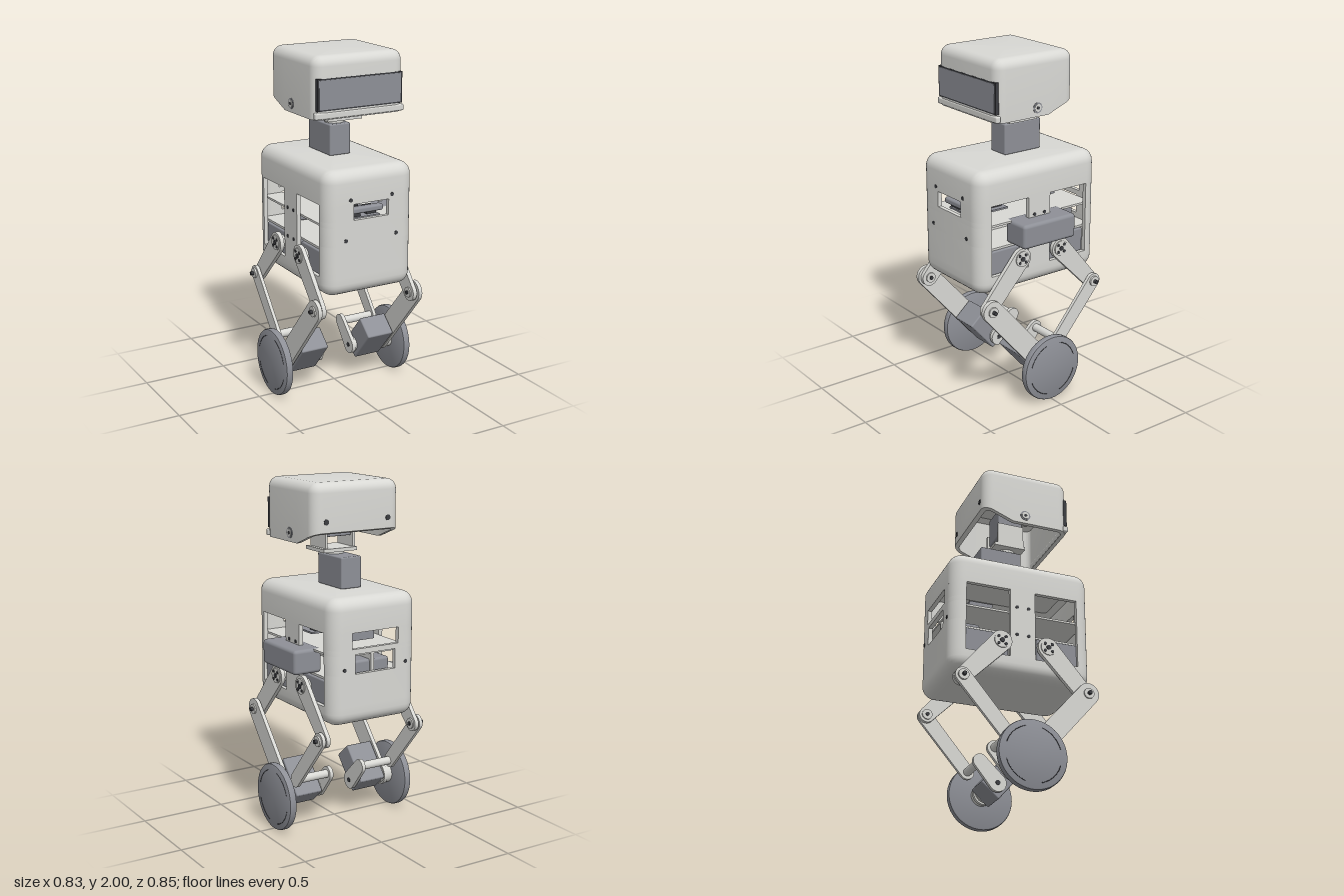
import * as THREE from 'three';
import { toCreasedNormals } from 'three/addons/utils/BufferGeometryUtils.js';
import { RoundedBoxGeometry } from 'three/addons/geometries/RoundedBoxGeometry.js';

const mat = (name, color) => {
  const m = new THREE.MeshStandardMaterial({ color });
  m.name = name;
  return m;
};

// Stack of rounded rectangles: rings are [y, inset]; floorAt(z) limits the height from below
function loft(rings, hx, zBack, zFront, r, zMid = 0, floorAt = () => -1) {
  const pos = [], idx = [], N = 8;
  const zc = (zBack + zFront) / 2, hz = (zFront - zBack) / 2;
  const put = (x, y, z) => pos.push(x, Math.max(y, floorAt(z)), z);
  for (const [y, inset] of rings) {
    const rc = Math.max(r - inset, 0.012), X = hx - inset, Z = hz - inset;
    [[1, 1], [-1, 1], [-1, -1], [1, -1]].forEach(([sx, sz], q) => {
      for (let i = 0; i <= N; i++) {
        const t = (q + i / N) * Math.PI / 2;
        put(sx * (X - rc) + rc * Math.cos(t), y, zc + sz * (Z - rc) + rc * Math.sin(t));
      }
      if (q % 2) put(sx * X, y, zMid);
    });
  }
  const M = 4 * (N + 1) + 2, last = (rings.length - 1) * M;
  for (let i = 0; i < rings.length - 1; i++) for (let j = 0; j < M; j++) {
    const a = i * M + j, b = i * M + (j + 1) % M;
    idx.push(a, a + M, b, b, a + M, b + M);
  }
  const c = rings.length * M;
  put(0, rings[0][0], zc);
  put(0, rings[rings.length - 1][0], zc);
  for (let j = 0; j < M; j++) {
    const k = (j + 1) % M;
    idx.push(c, j, k, c + 1, last + k, last + j);
  }
  const g = new THREE.BufferGeometry();
  g.setAttribute('position', new THREE.Float32BufferAttribute(pos, 3));
  g.setIndex(idx);
  return toCreasedNormals(g, 0.6);
}

// Quarter-round edge from the wall (inset 0) to the cap (inset f); dir is +1 for a top, -1 for a bottom
const fillet = (y, f, dir) => Array.from({ length: 8 }, (_, i) => {
  const t = i / 7 * Math.PI / 2;
  return [y - dir * f * (1 - Math.sin(t)), f * (1 - Math.cos(t))];
});

export function createModel() {
  const root = new THREE.Group();
  root.name = 'wheeledRobot';
  const shell = mat('shell light grey', 0xd8d8d4);
  const grey = mat('motor grey', 0x8e9097);
  const dark = mat('fastener dark', 0x3c3d41);

  const add = (name, geo, m, parent = root) => {
    const mesh = new THREE.Mesh(geo, m);
    mesh.name = name;
    parent.add(mesh);
    return mesh;
  };
  // Box between two corners, with optional rounding
  const box = (name, m, x0, x1, y0, y1, z0, z1, r = 0, parent = root) => {
    const s = [Math.abs(x1 - x0), y1 - y0, z1 - z0];
    const mesh = add(name, r ? new RoundedBoxGeometry(...s, 3, r) : new THREE.BoxGeometry(...s), m, parent);
    mesh.position.set((x0 + x1) / 2, (y0 + y1) / 2, (z0 + z1) / 2);
    return mesh;
  };
  // Cylinder along x
  const rod = (name, m, x0, x1, y, z, r, parent = root) => {
    const g = new THREE.CylinderGeometry(r, r, Math.abs(x1 - x0), 28).rotateZ(Math.PI / 2);
    add(name, g, m, parent).position.set((x0 + x1) / 2, y, z);
  };
  // Round-ended bar from a to b, each [z, y], between two x positions
  const link = (name, a, b, ra, rb, x0, x1, parent) => {
    const t = Math.atan2(b[1] - a[1], b[0] - a[0]), h = Math.PI / 2;
    const s = new THREE.Shape();
    s.absarc(a[0], a[1], ra, t + h, t + 3 * h);
    s.absarc(b[0], b[1], rb, t - h, t + h);
    const g = new THREE.ExtrudeGeometry(s, { depth: Math.abs(x1 - x0), bevelEnabled: false, curveSegments: 16 });
    g.rotateY(-Math.PI / 2).translate(Math.max(x0, x1), 0, 0);
    add(name, toCreasedNormals(g, 0.6), shell, parent);
  };
  // Small screw head on a front or back face
  const screw = (x, y, z, r = 0.011) => {
    add('screw', new THREE.CylinderGeometry(r, r, 0.006, 14).rotateX(Math.PI / 2), dark).position.set(x, y, z);
  };

  // Body: lid, tub and the walls between them
  const HX = 0.28, ZB = -0.425, ZF = 0.41, R = 0.08, T = 0.025;
  add('bodyLid', loft([[1.37, T + 0.03], [1.34, T], [1.21, T], [1.21, 0], ...fillet(1.4, 0.07, 1)], HX, ZB, ZF, R), shell);
  add('bodyTub', loft([...fillet(0.69, 0.07, -1).reverse(), [0.8, 0], [0.8, T], [0.75, T], [0.72, T + 0.03]], HX, ZB, ZF, R), shell);
  const K = 0.5523;
  const cornerWall = (y0, y1, sx, sz, gap) => {
    const zf = sz > 0 ? ZF : ZB, zw = sz > 0 ? 0.325 : -0.34;
    const P = (x, d) => [sx * x, zf - sz * d];
    const s = new THREE.Shape();
    const ri = R - T, k = (1 - K);
    s.moveTo(...P(gap, 0));
    s.lineTo(...P(HX - R, 0));
    s.bezierCurveTo(...P(HX - R * k, 0), ...P(HX, R * k), ...P(HX, R));
    s.lineTo(sx * HX, zw);
    s.lineTo(sx * (HX - T), zw);
    s.lineTo(...P(HX - T, R));
    s.bezierCurveTo(...P(HX - T, T + ri * k), ...P(HX - T - ri * k, T), ...P(HX - R, T));
    s.lineTo(...P(gap, T));
    s.closePath();
    const g = new THREE.ExtrudeGeometry(s, { depth: y1 - y0, bevelEnabled: false, curveSegments: 8 });
    g.rotateX(Math.PI / 2).translate(0, y1, 0);
    add('bodyWall', toCreasedNormals(g, 0.6), shell);
  };
  // Wall layers: bottom, top, half width of the front slot, half width of the back slot
  for (const [y0, y1, front, back] of [[0.8, 0.98, 0, 0], [0.98, 1.09, 0, 0.13], [1.09, 1.12, 0, 0], [1.12, 1.21, 0.11, 0.15]])
    for (const sx of [1, -1]) {
      cornerWall(y0, y1, sx, 1, front);
      cornerWall(y0, y1, sx, -1, back);
    }
  for (const s of [1, -1]) {
    box('sideColumn', shell, s * 0.255, s * 0.28, 0.8, 1.21, -0.08, 0.07);
    screw(s * 0.13, 1.235, ZF);
    screw(s * 0.16, 1.01, ZF);
    screw(s * 0.2, 1.01, ZB);
    for (const z of [-0.04, 0.03]) for (const y of [0.935, 1.105])
      rod('columnScrew', dark, s * 0.279, s * 0.283, y, z, 0.01);
  }

  // Shelves and electronics inside the body
  box('lowerShelf', shell, -0.25, 0.25, 0.94, 0.952, -0.395, 0.38);
  box('upperShelf', shell, -0.25, 0.25, 1.075, 1.087, -0.395, 0.38);
  box('shelfDivider', shell, -0.01, 0.01, 0.952, 1.075, -0.395, 0.38);
  box('rearBattery', grey, -0.12, 0.12, 0.955, 1.04, -0.38, -0.2, 0.015);
  box('circuitBoard', grey, -0.1, 0.1, 1.1, 1.11, 0.08, 0.34);
  for (const [x, z, w, h] of [[-0.06, 0.3, 0.08, 0.05], [0.06, 0.28, 0.06, 0.04], [0.02, 0.13, 0.09, 0.08], [-0.07, 0.18, 0.04, 0.05]])
    box('circuitPart', dark, x - w / 2, x + w / 2, 1.11, 1.11 + h, z - 0.03, z + 0.03);
  box('rearController', grey, -0.1, 0.1, 1.12, 1.19, -0.26, -0.12);
  box('frontConnector', grey, -0.1, 0.1, 1.14, 1.175, 0.33, 0.375, 0.012);
  box('sideBattery', grey, 0.2, 0.375, 0.95, 1.09, -0.19, 0.173, 0.02);

  // Neck servo and bracket
  box('neckServo', grey, -0.068, 0.064, 1.4, 1.578, -0.178, 0.073, 0.008);
  add('neckHorn', new THREE.CylinderGeometry(0.055, 0.055, 0.03, 28), shell).position.set(0, 1.59, 0);
  box('neckPlate', shell, -0.09, 0.13, 1.598, 1.618, -0.1, 0.09);
  for (const x of [-0.08, 0.1]) box('neckBracket', shell, x - 0.008, x + 0.008, 1.61, 1.75, -0.08, 0.08);
  box('headServo', grey, -0.068, 0.09, 1.68, 1.86, -0.07, 0.08, 0.008);

  // Head: hollow shell with a sloped lower back edge
  const slope = z => 1.66 + Math.max(0, -0.06 - z) * 0.39;
  add('headShell', loft([[1.965, 0.05], [1.94, 0.025], [1.66, 0.025], [1.66, 0], ...fillet(2, 0.055, 1)], 0.28, -0.24, 0.285, 0.06, -0.06, slope), shell);
  box('screenFrame', dark, -0.265, 0.265, 1.708, 1.882, 0.262, 0.286);
  box('screen', grey, -0.255, 0.255, 1.716, 1.875, 0.264, 0.289);
  box('screenLip', shell, -0.278, 0.278, 1.664, 1.7, 0.258, 0.289, 0.008);
  for (const s of [1, -1]) {
    rod('headPivotRing', grey, s * 0.27, s * 0.283, 1.71, 0.015, 0.03);
    rod('headPivotCap', shell, s * 0.27, s * 0.286, 1.71, 0.015, 0.022);
    rod('headPivotBolt', dark, s * 0.27, s * 0.288, 1.71, 0.015, 0.009);
    screw(s * 0.2, 1.79, -0.24, 0.016);
  }

  // Legs: five-bar linkage with a wheel motor, mirrored left and right
  const axle = [-0.005, 0.2], frontKnee = [0.36, 0.62], rearKnee = [-0.37, 0.62], rearEnd = [-0.11, 0.315];
  for (const s of [1, -1]) {
    const leg = new THREE.Group();
    leg.name = s > 0 ? 'leftLeg' : 'rightLeg';
    root.add(leg);
    for (const [z, knee, kr] of [[0.135, frontKnee, 0.052], [-0.14, rearKnee, 0.045]]) {
      const z0 = z > 0 ? 0.085 : -0.335;
      box('hipMotor', grey, s * 0.11, s * 0.262, 0.8, 0.938, z0, z0 + 0.25, 0.008, leg);
      rod('hipShaft', shell, s * 0.25, s * 0.29, 0.872, z, 0.04, leg);
      link('upperLink', [z, 0.872], knee, 0.06, kr, s * 0.283, s * 0.307, leg);
      rod('hipHub', shell, s * 0.3, s * 0.313, 0.872, z, 0.045, leg);
      rod('hipBolt', dark, s * 0.3, s * 0.317, 0.872, z, 0.014, leg);
      for (let i = 0; i < 4; i++) {
        const t = (i + 0.5) * Math.PI / 2;
        rod('hubScrew', dark, s * 0.3, s * 0.316, 0.872 + 0.03 * Math.sin(t), z + 0.03 * Math.cos(t), 0.009, leg);
      }
      rod('kneeSpacer', shell, s * 0.275, s * 0.345, knee[1], knee[0], 0.03, leg);
      rod('kneeAxle', dark, s * 0.268, s * 0.363, knee[1], knee[0], 0.011, leg);
    }
    link('frontLowerLink', frontKnee, axle, 0.062, 0.065, s * 0.314, s * 0.337, leg);
    link('rearLowerLink', rearKnee, rearEnd, 0.045, 0.042, s * 0.314, s * 0.334, leg);
    rod('crossRod', shell, s * 0.115, s * 0.32, rearEnd[1], rearEnd[0], 0.024, leg);
    link('innerLink', axle, rearEnd, 0.052, 0.042, s * 0.1, s * 0.122, leg);
    rod('innerHub', shell, s * 0.118, s * 0.14, axle[1], axle[0], 0.045, leg);
    rod('innerBolt', dark, s * 0.097, s * 0.11, axle[1], axle[0], 0.014, leg);

    // Wheel motor lies along the front lower link
    const motor = box('wheelMotor', grey, s * 0.135, s * 0.305, -0.068, 0.068, -0.122, 0.122, 0.008, leg);
    motor.position.set(s * 0.22, 0.253, 0.042);
    motor.rotation.x = -Math.atan2(frontKnee[1] - axle[1], frontKnee[0] - axle[0]);
    rod('motorMount', shell, s * 0.3, s * 0.318, axle[1], axle[0], 0.055, leg);
    rod('wheelHub', shell, s * 0.335, s * 0.372, axle[1], axle[0], 0.06, leg);

    // Wheel with rounded rim and broken ring marks
    const profile = [[0, -0.022], [0.185, -0.022], [0.192, -0.019], [0.195, -0.012], [0.195, 0.012], [0.192, 0.019], [0.185, 0.022], [0, 0.022]];
    const wheel = add('wheel', toCreasedNormals(new THREE.LatheGeometry(profile.map(p => new THREE.Vector2(...p)), 64).rotateZ(Math.PI / 2), 0.7), grey, leg);
    wheel.position.set(s * 0.393, 0.197, axle[0]);
    for (let i = 0; i < 4; i++) {
      const g = new THREE.TorusGeometry(0.158, 0.0018, 4, 20, 1.0).rotateZ(0.3 + i * Math.PI / 2).rotateY(Math.PI / 2);
      add('wheelMark', g, dark, leg).position.set(s * 0.415, 0.197, axle[0]);
    }
  }
  return root;
}
